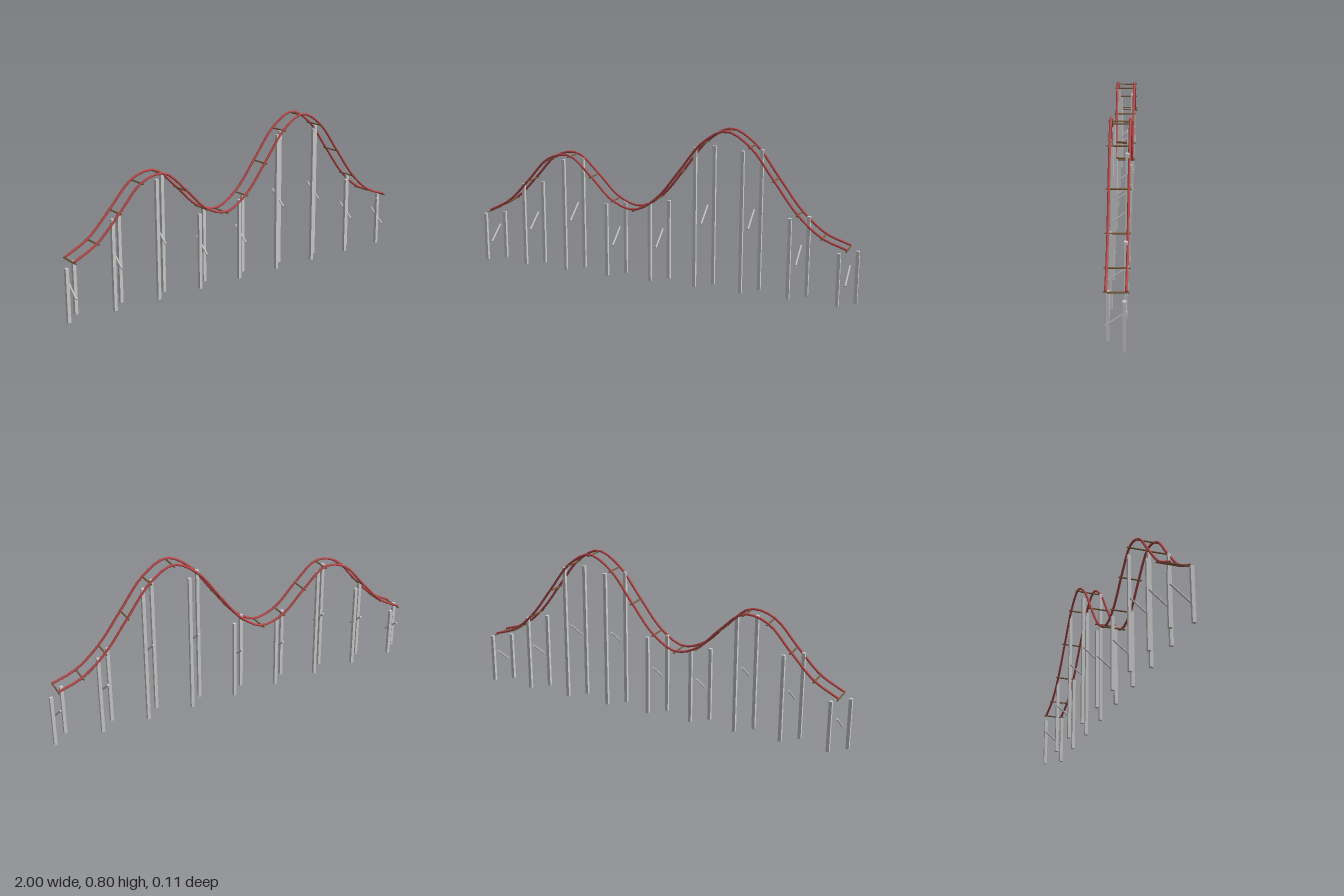
import * as THREE from 'three';

const STEP = 0.1194; // spacing between ties
// Track height at each tie, from -x to +x
const HEIGHTS = [0.281, 0.346, 0.466, 0.588, 0.613, 0.517, 0.403, 0.366, 0.434,
  0.579, 0.73, 0.795, 0.73, 0.579, 0.425, 0.325, 0.281];
const GAUGE = 0.044;

export function createModel() {
  const model = new THREE.Group();
  const grey = new THREE.MeshStandardMaterial({ color: 0xcccccc });
  const red = new THREE.MeshStandardMaterial({ color: 0xb84a4a });
  const brown = new THREE.MeshStandardMaterial({ color: 0x7a5c3c });

  const add = (name, geometry, material, x = 0, y = 0, z = 0) => {
    const mesh = new THREE.Mesh(geometry, material);
    mesh.name = name;
    mesh.position.set(x, y, z);
    model.add(mesh);
    return mesh;
  };
  const tieX = (i) => (i - 8) * STEP;

  // Two parallel rails with capped ends
  for (const side of [1, -1]) {
    const points = HEIGHTS.map((y, i) => new THREE.Vector3(tieX(i), y, side * GAUGE));
    const path = new THREE.CatmullRomCurve3(points);
    add(side > 0 ? 'frontRail' : 'backRail', new THREE.TubeGeometry(path, 64, 0.006, 8), red);
    for (const t of [0, 1]) {
      const p = path.getPoint(t);
      const cap = add('railEnd', new THREE.CircleGeometry(0.006, 8), red, p.x, p.y, p.z);
      cap.lookAt(p.clone().addScaledVector(path.getTangent(t), t ? 1 : -1));
    }
  }

  // Cross ties just below the rail centres
  const tieGeometry = new THREE.CylinderGeometry(0.004, 0.004, 0.114, 8).rotateX(Math.PI / 2);
  HEIGHTS.forEach((y, i) => add('tie', tieGeometry, brown, tieX(i), y - 0.006, 0));

  // Staggered pairs of posts under every second tie, with a diagonal brace between
  const braceGeometry = new THREE.CylinderGeometry(0.005, 0.005, 0.118, 6);
  for (let i = 0; i < HEIGHTS.length; i += 2) {
    const x = tieX(i);
    const top = HEIGHTS[i] - 0.024;
    const postGeometry = new THREE.BoxGeometry(0.016, top, 0.016);
    for (const side of [1, -1]) {
      add('post', postGeometry, grey, x - side * 0.0368, top / 2, side * 0.036);
    }
    const brace = add('brace', braceGeometry, grey, x, HEIGHTS[i] / 2 + 0.002, 0);
    brace.rotation.x = -Math.atan2(0.09, 0.073);
  }
  return model;
}
